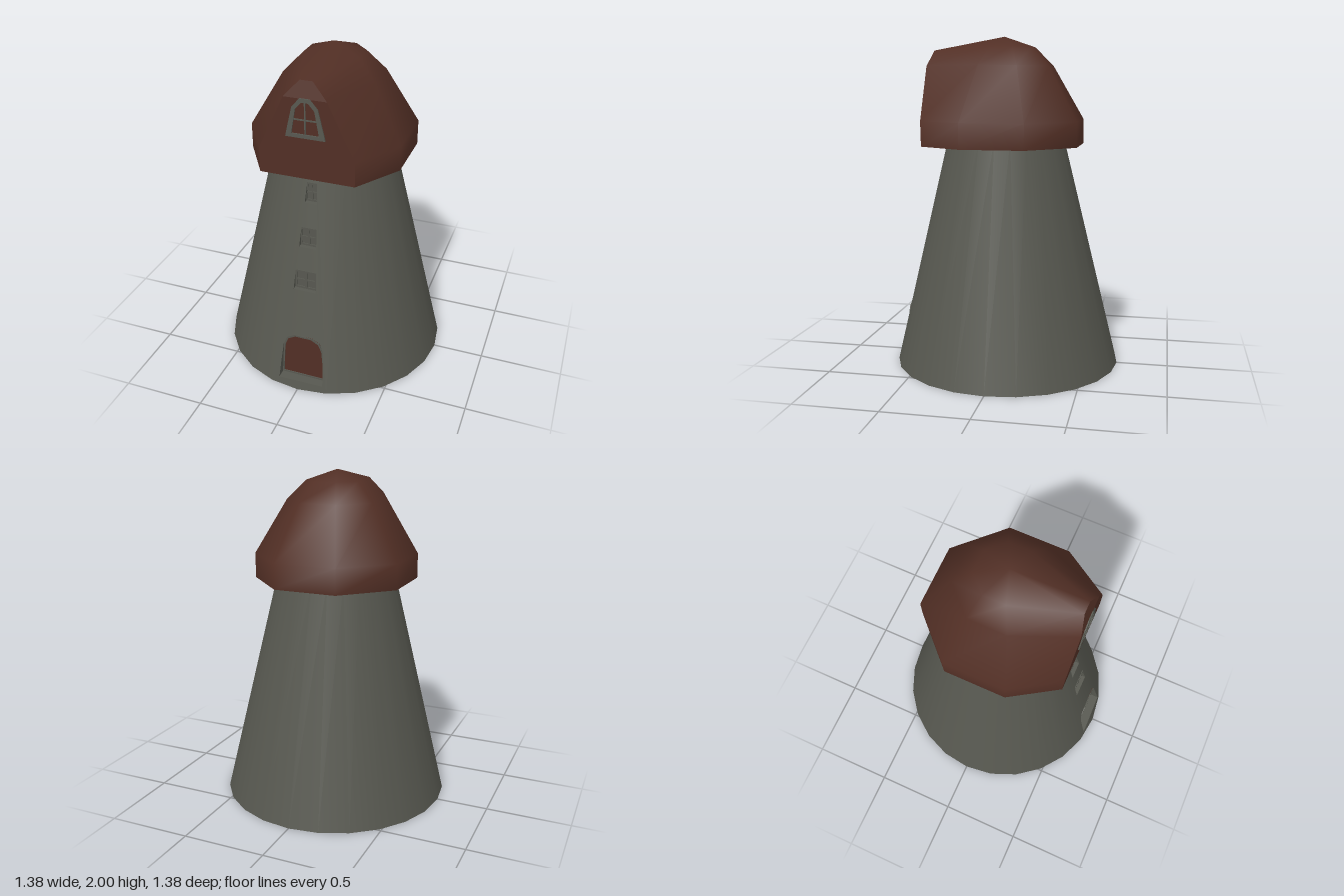
import * as THREE from 'three';

const stone = new THREE.MeshStandardMaterial({ color: 0x575850, side: THREE.DoubleSide });
stone.name = 'dark stone';
const wood = new THREE.MeshStandardMaterial({ color: 0x522f25, side: THREE.DoubleSide });
wood.name = 'brown wood';

const TOP = 1.4;                                   // tower wall ends inside the cap
const radius = (y) => 0.69 - 0.24 * y;
const lean = (y) => 0.007 * y;
const wallZ = (x, y) => lean(y) + Math.sqrt(radius(y) ** 2 - x * x);

const toShape = (pts) => new THREE.Shape(pts.map(([x, y]) => new THREE.Vector2(x, y)));
// mirrors the right half of an outline, listed from bottom to top
const mirrored = (half, cx = 0) => [
  ...half.map(([x, y]) => [cx + x, y]),
  ...half.slice().reverse().map(([x, y]) => [cx - x, y]),
];

function add(parent, geometry, material, name) {
  const mesh = new THREE.Mesh(geometry, material);
  mesh.name = name;
  parent.add(mesh);
  return mesh;
}

// flat plate with optional holes, its back at z
function plate(pts, holes, z, depth) {
  const shape = toShape(pts);
  shape.holes = holes.map(toShape);
  return new THREE.ExtrudeGeometry(shape, { depth, bevelEnabled: false }).translate(0, 0, z);
}

function gridGeometry(positions, index) {
  const g = new THREE.BufferGeometry();
  g.setAttribute('position', new THREE.Float32BufferAttribute(positions, 3));
  g.setIndex(index);
  return g;
}

// sill, jambs and lintel from the sloping wall back to an upright plane
function reveal(pts, z) {
  const pos = [], index = [], n = pts.length;
  pts.forEach(([x, y]) => pos.push(x, y, wallZ(x, y), x, y, Math.min(z, wallZ(x, y))));
  for (let i = 0; i < n; i++) {
    const a = 2 * i, b = 2 * ((i + 1) % n);
    index.push(a, a + 1, b, b, a + 1, b + 1);
  }
  const g = gridGeometry(pos, index).toNonIndexed();
  g.computeVertexNormals();
  return g;
}

// openings in the front wall
const doorway = mirrored([[0.14, 0.045], [0.134, 0.15], [0.125, 0.27], [0.104, 0.322], [0.055, 0.35]], 0.013);
const windows = [
  { y0: 0.635, y1: 0.76, w0: 0.07, w1: 0.064 },
  { y0: 0.9, y1: 1.02, w0: 0.053, w1: 0.046 },
  { y0: 1.165, y1: 1.285, w0: 0.037, w1: 0.03 },
].map((w) => ({ ...w, pts: mirrored([[w.w0, w.y0], [w.w1, w.y1]]) }));

function buildTower(group) {
  // round wall, open at the front and at the foot
  const gap = Math.PI / 12;
  const wall = new THREE.CylinderGeometry(radius(TOP), radius(0), TOP, 22, 1, true, gap, 2 * Math.PI - 2 * gap);
  wall.translate(0, TOP / 2, 0);
  const p = wall.attributes.position;
  for (let i = 0; i < p.count; i++) p.setZ(i, p.getZ(i) + lean(p.getY(i)));
  add(group, wall, stone, 'towerWall');

  // front strip with openings, bent onto the cone
  const s = Math.sin(gap);
  const shape = toShape([[-radius(0) * s, 0], [0, 0], [radius(0) * s, 0],
    [radius(TOP) * s, TOP], [0, TOP], [-radius(TOP) * s, TOP]]);
  shape.holes = [doorway, ...windows.map((w) => w.pts)].map(toShape);
  const front = new THREE.ShapeGeometry(shape);
  const q = front.attributes.position, n = front.attributes.normal;
  const v = new THREE.Vector3();
  for (let i = 0; i < q.count; i++) {
    const x = q.getX(i), y = q.getY(i), z = wallZ(x, y);
    q.setZ(i, z);
    v.set(x / radius(y), 0.24, (z - lean(y)) / radius(y)).normalize();
    n.setXYZ(i, v.x, v.y, v.z);
  }
  add(group, front, stone, 'towerFrontWall');
}

function buildDoor(group) {
  const z = 0.606;
  add(group, reveal(doorway, z), stone, 'doorReveal');
  add(group, plate(doorway, [], z - 0.004, 0.004), wood, 'door');
  const inner = doorway.map(([x, y]) => [0.013 + (x - 0.013) * 0.93, 0.2 + (y - 0.2) * 0.93]);
  add(group, plate(doorway, [inner], z, 0.005), stone, 'doorFrame');
}

function buildWindow(group, { y0, y1, w0, w1, pts }) {
  const z = wallZ(0, y1) - 0.003;
  add(group, reveal(pts, z), stone, 'windowReveal');
  add(group, plate(pts, [], z - 0.006, 0.003), stone, 'windowPane');
  // frame with two by two lights
  const holes = [];
  const at = (u, t) => [u * (w0 + (w1 - w0) * t), y0 + (y1 - y0) * t];
  for (const [t0, t1] of [[0.1, 0.43], [0.52, 0.9]])
    for (const [u0, u1] of [[-0.84, -0.1], [0.1, 0.84]])
      holes.push([at(u0, t0), at(u1, t0), at(u1, t1), at(u0, t1)]);
  add(group, plate(pts, holes, z - 0.003, 0.006), stone, 'windowFrame');
}

function buildCap(group) {
  // right-hand half rings from front to back: x, y, z
  const rings = [
    [[0.28, 1.35, 0.47], [0.455, 1.35, 0.195], [0.455, 1.35, -0.18], [0.19, 1.35, -0.445]],
    [[0.28, 1.5, 0.473], [0.455, 1.5, 0.195], [0.455, 1.5, -0.18], [0.19, 1.5, -0.445]],
    [[0.125, 1.825, 0.476], [0.272, 1.825, 0.125], [0.272, 1.825, -0.105], [0.115, 1.825, -0.265]],
    [[0.037, 1.92, 0.45], [0.165, 1.938, 0.075], [0.165, 1.938, -0.06], [0.07, 1.938, -0.158]],
  ].map((half) => [...half, ...half.slice().reverse().map(([x, y, z]) => [-x, y, z])]);

  const index = [];
  for (let r = 0; r < 3; r++)
    for (let i = 0; i < 7; i++) {
      const a = r * 8 + i;
      index.push(a, a + 1, a + 9, a, a + 9, a + 8);
    }
  for (let i = 0; i < 8; i++) index.push(24 + i, 24 + (i + 1) % 8, 32);
  const roof = gridGeometry([...rings.flat(2), 0, 2, 0.02], index);
  roof.computeVertexNormals();
  add(group, roof, wood, 'capRoof');

  // gable face closing the front of the cap
  const face = [], faceIndex = [];
  rings.forEach((ring, r) => {
    face.push(...ring[7], ...ring[0]);
    const a = 2 * r;
    if (r < 3) faceIndex.push(a, a + 1, a + 3, a, a + 3, a + 2);
  });
  const gable = gridGeometry(face, faceIndex).toNonIndexed();
  gable.computeVertexNormals();
  add(group, gable, wood, 'capGable');

  // flat underside
  const under = new THREE.ShapeGeometry(toShape(rings[0].map(([x, , z]) => [x, z])));
  under.rotateX(Math.PI / 2).translate(0, 1.35, 0);
  add(group, under, wood, 'capUnderside');

  // gable window
  const outer = mirrored([[0.115, 1.6], [0.108, 1.635], [0.075, 1.775], [0.03, 1.828]]);
  const inner = mirrored([[0.08, 1.622], [0.055, 1.765], [0.02, 1.805]]);
  add(group, plate(outer, [inner], 0.474, 0.008), stone, 'gableWindowFrame');
  const bars = [
    ['gableWindowMullion', 0.008, 0.185, 1.713],
    ['gableWindowCrossbar', 0.13, 0.008, 1.705],
  ];
  for (const [name, w, h, y] of bars)
    add(group, new THREE.BoxGeometry(w, h, 0.005).translate(0, y, 0.4775), stone, name);
}

export function createModel() {
  const model = new THREE.Group();
  model.name = 'windmillTower';
  const part = (name, build) => {
    const g = new THREE.Group();
    g.name = name;
    build(g);
    model.add(g);
  };
  part('tower', buildTower);
  part('frontDoor', buildDoor);
  windows.forEach((w) => part('towerWindow', (g) => buildWindow(g, w)));
  part('cap', buildCap);
  return model;
}
